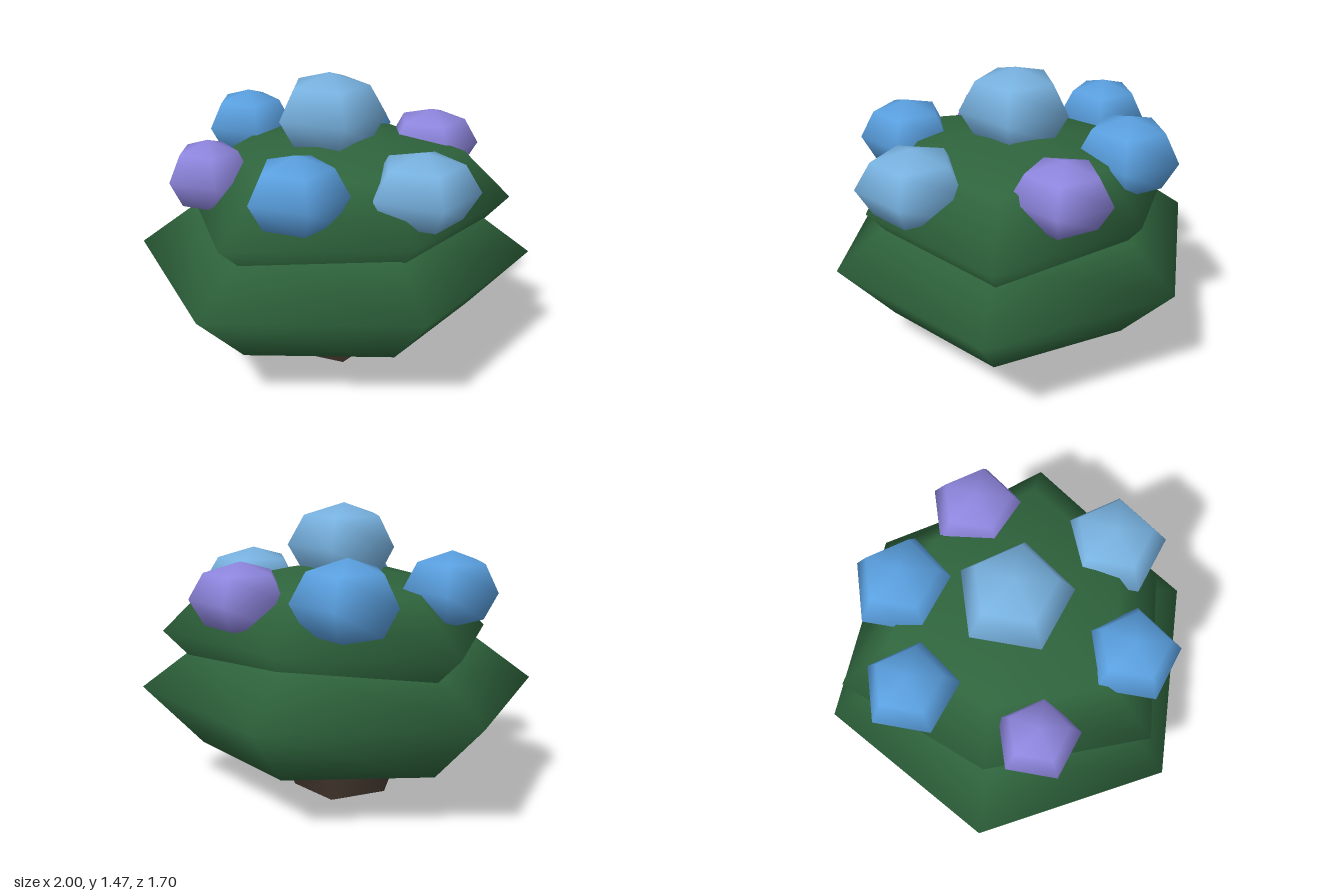
import * as THREE from 'three';

const paint = (name, color) => {
  const m = new THREE.MeshStandardMaterial({ color });
  m.name = name;
  return m;
};

// Faceted blob: a low-poly sphere whose equator follows an [x, z] outline
// (offsets from the centre, running -x, +z, +x, -z), with its own upper and lower heights.
function blob(name, material, [cx, cy, cz], outline, up, down) {
  const n = outline.length;
  const geo = new THREE.SphereGeometry(1, n, 4);
  const pos = geo.attributes.position, nor = geo.attributes.normal;
  const r = outline.reduce((s, [x, z]) => s + Math.hypot(x, z), 0) / n;
  const v = new THREE.Vector3();
  for (let i = 0; i < pos.count; i++) {
    const [ox, oz] = outline[(i % (n + 1)) % n];
    const y = pos.getY(i);
    const s = Math.sqrt(Math.max(0, 1 - y * y));
    const h = y > 0 ? up : down;
    pos.setXYZ(i, ox * s, y * h, oz * s);
    v.set(ox * s / (r * r), y / ((up + down) / 2), oz * s / (r * r)).normalize();
    nor.setXYZ(i, v.x, v.y, v.z);
  }
  const mesh = new THREE.Mesh(geo, material);
  mesh.name = name;
  mesh.position.set(cx, cy, cz);
  return mesh;
}

// Five-sided outline with one corner towards +x
const pentagon = (r) => Array.from({ length: 5 }, (_, k) => {
  const a = k * Math.PI * 2 / 5;
  return [r * Math.cos(a), -r * Math.sin(a)];
});

export function createModel() {
  const model = new THREE.Group();
  model.name = 'floweringBush';

  const leaf = paint('leafGreen', 0x2f653d);
  const bark = paint('barkBrown', 0x4c3e34);
  const sky = paint('paleBlue', 0x78b2e0);
  const blue = paint('blue', 0x5aa0e0);
  const violet = paint('violet', 0x8e86de);

  // Short trunk, widening upwards
  const trunk = new THREE.Mesh(new THREE.CylinderGeometry(0.37, 0.25, 0.32, 5), bark);
  trunk.name = 'trunk';
  trunk.rotation.y = Math.PI / 2;
  trunk.position.set(-0.012, 0.16, 0);
  model.add(trunk);

  // Two stacked masses of foliage
  model.add(blob('lowerFoliage', leaf, [0, 0.55, 0],
    [[-1, 0], [-0.54, 0.85], [0.46, 0.81], [1, 0], [0.46, -0.81], [-0.54, -0.85]], 0.31, 0.43));
  model.add(blob('upperFoliage', leaf, [0.07, 0.84, -0.02],
    [[-0.81, 0], [-0.52, 0.76], [0.33, 0.68], [0.815, 0], [0.29, -0.62], [-0.52, -0.755]], 0.335, 0.35));

  // Flower heads: colour, centre, radius, half height
  const flowers = [
    [sky, [-0.02, 1.26, 0], 0.28, 0.205],
    [blue, [0.02, 1.06, -0.55], 0.26, 0.2],
    [blue, [-0.48, 1.09, -0.4], 0.23, 0.18],
    [violet, [0.49, 1.04, -0.28], 0.245, 0.175],
    [violet, [-0.585, 1.0, 0.21], 0.205, 0.18],
    [sky, [0.43, 1.02, 0.41], 0.27, 0.185],
    [blue, [-0.125, 1.05, 0.575], 0.24, 0.185],
  ];
  flowers.forEach(([mat, centre, r, h], i) =>
    model.add(blob(`flowerHead${i + 1}`, mat, centre, pentagon(r), h, h)));

  return model;
}
